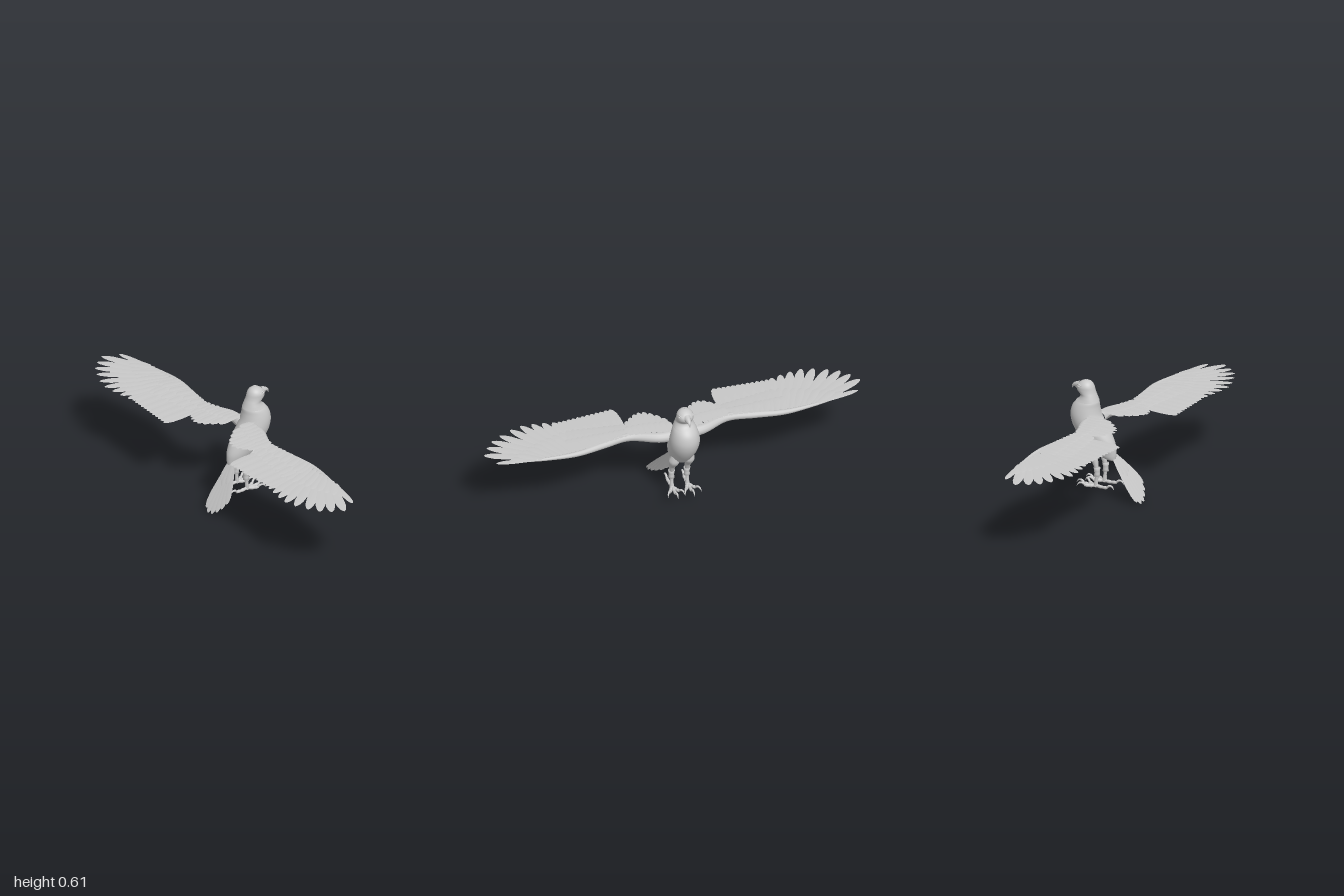
import * as THREE from 'three';
import { mergeGeometries } from 'three/addons/utils/BufferGeometryUtils.js';

const V = (x, y, z) => new THREE.Vector3(x, y, z);
const lerp = THREE.MathUtils.lerp;

function buildGeometry(pos, idx) {
  const g = new THREE.BufferGeometry();
  g.setAttribute('position', new THREE.Float32BufferAttribute(pos, 3));
  g.setIndex(idx);
  g.computeVertexNormals();
  return g;
}

// Smooth body through horizontal ovals, top to bottom: [y, zFront, zBack, halfWidth]
function loft(rings, steps = 48, sides = 40) {
  const a = new THREE.CatmullRomCurve3(rings.map(r => V(r[0], r[1], r[2])));
  const b = new THREE.CatmullRomCurve3(rings.map(r => V(r[0], r[3], 0)));
  const pos = [], idx = [];
  for (let i = 0; i <= steps; i++) {
    const p = a.getPoint(i / steps), w = b.getPoint(i / steps).y;
    for (let j = 0; j < sides; j++) {
      const t = j / sides * Math.PI * 2;
      pos.push(w * Math.cos(t), p.x, (p.y + p.z) / 2 + Math.abs(p.z - p.y) / 2 * Math.sin(t));
      if (i === steps) continue;
      const k = i * sides + j, n = i * sides + (j + 1) % sides;
      idx.push(k, n, k + sides, n, n + sides, k + sides);
    }
  }
  return buildGeometry(pos, idx);
}

// Tube whose radius follows a list of values along its length
function taper(points, radii, steps = 20, sides = 12) {
  const curve = new THREE.CatmullRomCurve3(points);
  const g = new THREE.TubeGeometry(curve, steps, 1, sides);
  const p = g.attributes.position, v = V(0, 0, 0);
  for (let i = 0; i <= steps; i++) {
    const c = curve.getPointAt(i / steps), f = i / steps * (radii.length - 1);
    const k = Math.min(Math.floor(f), radii.length - 2);
    const r = lerp(radii[k], radii[k + 1], f - k);
    for (let j = 0; j <= sides; j++) {
      const n = i * (sides + 1) + j;
      v.fromBufferAttribute(p, n).sub(c).multiplyScalar(r).add(c);
      p.setXYZ(n, v.x, v.y, v.z);
    }
  }
  g.computeVertexNormals();
  return g;
}

// Thin rounded feather from root a to tip b, gently arched towards up
const VANE = [[0, 0.5], [0.3, 0.85], [0.65, 1], [0.84, 0.88], [0.94, 0.58], [0.985, 0.28], [1, 0.03]];
function feather(a, b, width, up = V(0, 1, 0), arch = 0.002) {
  const d = b.clone().sub(a), w = up.clone().cross(d).normalize();
  const n = d.clone().cross(w).normalize();
  const pos = [], idx = [];
  VANE.forEach(([u, k], i) => {
    for (const s of [-1, 0, 1]) {
      const p = a.clone().addScaledVector(d, u).addScaledVector(w, s * k * width / 2);
      p.addScaledVector(n, s ? 0 : arch * k);
      pos.push(p.x, p.y, p.z);
    }
    if (i === VANE.length - 1) return;
    for (const m of [i * 3, i * 3 + 1]) idx.push(m, m + 3, m + 1, m + 1, m + 3, m + 4);
  });
  return buildGeometry(pos, idx);
}

export function createModel() {
  const bird = new THREE.Group();
  bird.name = 'birdOfPrey';
  const skin = new THREE.MeshStandardMaterial({ color: 0xc8c8c8 });
  skin.name = 'bodyGrey';
  const plume = new THREE.MeshStandardMaterial({ color: 0xc8c8c8, side: THREE.DoubleSide });
  plume.name = 'featherGrey';
  const add = (name, geo, mat = skin, parent = bird) => {
    const m = new THREE.Mesh(geo, mat);
    m.name = name;
    parent.add(m);
    return m;
  };

  // Torso and head
  add('torso', loft([
    [0.53, -0.17, -0.10, 0.03], [0.508, -0.203, -0.086, 0.054], [0.48, -0.226, -0.083, 0.066],
    [0.44, -0.236, -0.074, 0.075], [0.40, -0.231, -0.053, 0.077], [0.36, -0.214, -0.024, 0.074],
    [0.32, -0.187, 0.001, 0.066], [0.28, -0.152, 0.017, 0.055], [0.25, -0.118, 0.02, 0.043],
    [0.23, -0.072, 0.019, 0.032], [0.216, -0.026, 0.016, 0.018], [0.211, -0.004, 0.006, 0.002]]));
  add('head', loft([
    [0.616, -0.156, -0.152, 0.002], [0.611, -0.175, -0.133, 0.02], [0.60, -0.192, -0.12, 0.034],
    [0.585, -0.204, -0.112, 0.042], [0.568, -0.204, -0.107, 0.043], [0.555, -0.194, -0.103, 0.043],
    [0.54, -0.18, -0.097, 0.044], [0.525, -0.186, -0.091, 0.049], [0.508, -0.206, -0.084, 0.056]]), plume);

  // Hooked beak with lower jaw
  add('upperBeak', taper([V(0, 0.584, -0.19), V(0, 0.582, -0.213), V(0, 0.574, -0.23), V(0, 0.556, -0.238)],
    [0.02, 0.014, 0.008, 0.0005]));
  add('lowerBeak', taper([V(0, 0.567, -0.185), V(0, 0.566, -0.208), V(0, 0.566, -0.221)], [0.014, 0.009, 0.0005]));

  for (const s of [1, -1]) {
    const side = s > 0 ? 'left' : 'right';
    const P = (x, y, z) => V(s * x, y, z);

    // Eye and brow ridge
    const eye = add(side + 'Eye', new THREE.SphereGeometry(0.008, 16, 12));
    eye.position.set(s * 0.034, 0.586, -0.178);
    add(side + 'Brow', taper([P(0.04, 0.59, -0.155), P(0.036, 0.596, -0.175), P(0.024, 0.592, -0.197)],
      [0.0005, 0.005, 0.0005]));

    // Leg
    const leg = new THREE.Group();
    leg.name = side + 'Leg';
    bird.add(leg);
    add('thigh', taper([P(0.036, 0.315, -0.118), P(0.04, 0.26, -0.104), P(0.041, 0.215, -0.08), P(0.041, 0.17, -0.068)],
      [0.015, 0.029, 0.018, 0.011]), skin, leg);
    const cuff = [[0.009, 0.13], [0.0165, 0.13], [0.014, 0.143], [0.0145, 0.158], [0.018, 0.174], [0.009, 0.174]];
    add('legCuff', new THREE.LatheGeometry(cuff.map(c => new THREE.Vector2(...c)), 20), plume, leg)
      .position.set(s * 0.041, 0, -0.065);
    add('shank', taper([P(0.041, 0.15, -0.067), P(0.041, 0.11, -0.069), P(0.041, 0.072, -0.073)],
      [0.009, 0.0085, 0.012]), skin, leg);

    // Toes with curved claws: [direction x, direction z, toe length]
    [[-0.42, -0.9, 0.058], [0.02, -1, 0.072], [0.5, -0.86, 0.058], [0.05, 1, 0.073]].forEach(([dx, dz, len]) => {
      const at = (d, y) => P(0.041 + dx * d, y, -0.073 + dz * d);
      add('toe', taper([at(0, 0.077), at(len * 0.5, 0.075), at(len, 0.078)],
        [0.011, 0.008, 0.0095, 0.0075, 0.009, 0.006]), skin, leg);
      add('claw', taper([at(len - 0.006, 0.077), at(len + 0.01, 0.09), at(len + 0.025, 0.09), at(len + 0.04, 0.073)],
        [0.006, 0.006, 0.004, 0.0004]), skin, leg);
    });

    // Wing arm along the leading edge
    const wing = new THREE.Group();
    wing.name = side + 'Wing';
    bird.add(wing);
    add('wingArm', taper([P(0.03, 0.415, -0.092), P(0.11, 0.418, -0.094), P(0.26, 0.419, -0.042),
      P(0.4, 0.419, -0.066), P(0.55, 0.418, -0.092), P(0.7, 0.417, -0.083), P(0.86, 0.415, -0.06)],
      [0.03, 0.025, 0.02, 0.017, 0.013, 0.008, 0.001], 40), skin, wing);

    // Flight feathers on the hand
    const tips = [[0.96, -0.033], [0.998, 0.05], [0.965, 0.105], [0.925, 0.15], [0.87, 0.182],
      [0.805, 0.212], [0.745, 0.228], [0.685, 0.224], [0.63, 0.216], [0.58, 0.206]];
    const primaries = tips.map(([x, z], i) => feather(
      P(lerp(0.72, 0.54, i / 9), 0.42 - i * 0.0006, lerp(-0.078, -0.075, i / 9)),
      P(x, 0.414 - i * 0.0004, z), i < 1 ? 0.034 : 0.052));
    add('primaryFeathers', mergeGeometries(primaries), plume, wing);

    // Rows of feathers between two lines of roots and tips
    const row = (name, count, r0, r1, t0, t1, width, wave = 0) => {
      const list = [];
      for (let i = 0; i < count; i++) {
        const f = i / (count - 1), lift = P(0, i % 2 * 0.001, 0);
        const a = P(...r0).lerp(P(...r1), f).add(lift), b = P(...t0).lerp(P(...t1), f).add(lift);
        b.z += wave * Math.sin(f * Math.PI);
        list.push(feather(a, b, width));
      }
      add(name, mergeGeometries(list), plume, wing);
    };
    row('secondaryFeathers', 12, [0.27, 0.417, -0.045], [0.54, 0.415, -0.08], [0.275, 0.411, 0.215], [0.55, 0.41, 0.2], 0.054);
    row('innerCoverts', 11, [0.25, 0.434, -0.045], [0.53, 0.433, -0.085], [0.275, 0.427, 0.06], [0.54, 0.426, 0.1], 0.046);
    row('smallCoverts', 13, [0.22, 0.438, -0.05], [0.54, 0.434, -0.09], [0.24, 0.437, 0.005], [0.57, 0.432, 0.02], 0.042);
    row('handCoverts', 9, [0.53, 0.428, -0.088], [0.76, 0.421, -0.077], [0.58, 0.425, 0.095], [0.88, 0.418, -0.025], 0.042, 0.015);
    row('shoulderFeathers', 8, [0.06, 0.443, -0.1], [0.24, 0.437, -0.055], [0.055, 0.438, 0.03], [0.235, 0.431, 0.07], 0.04, 0.065);
    row('shoulderCoverts', 8, [0.05, 0.449, -0.105], [0.25, 0.44, -0.06], [0.05, 0.45, -0.02], [0.25, 0.44, 0.015], 0.04, 0.01);
  }

  // Tail fan, swung towards the left
  const up = V(0, 0.57, 0.82), tailZ = y => 0.005 + (0.23 - y) * 0.69;
  const tailTips = [[-0.008, 0.018], [0.018, 0.004], [0.047, 0.008], [0.073, 0.024], [0.096, 0.047], [0.112, 0.076]];
  add('tailFan', mergeGeometries(tailTips.map(([x, y], i) => feather(
    V(0.003 + i * 0.004, 0.235, 0.001 + i * 0.0006), V(x, y, tailZ(y) + i * 0.0006), 0.05, up))), plume);
  add('tailCoverts', mergeGeometries([[0.0, 0.15], [0.024, 0.135], [0.05, 0.15]].map(([x, y], i) => feather(
    V(0.002 + i * 0.007, 0.245, 0.002), V(x, y, tailZ(y) + 0.005 + i * 0.0005), 0.036, up))), plume);
  return bird;
}
